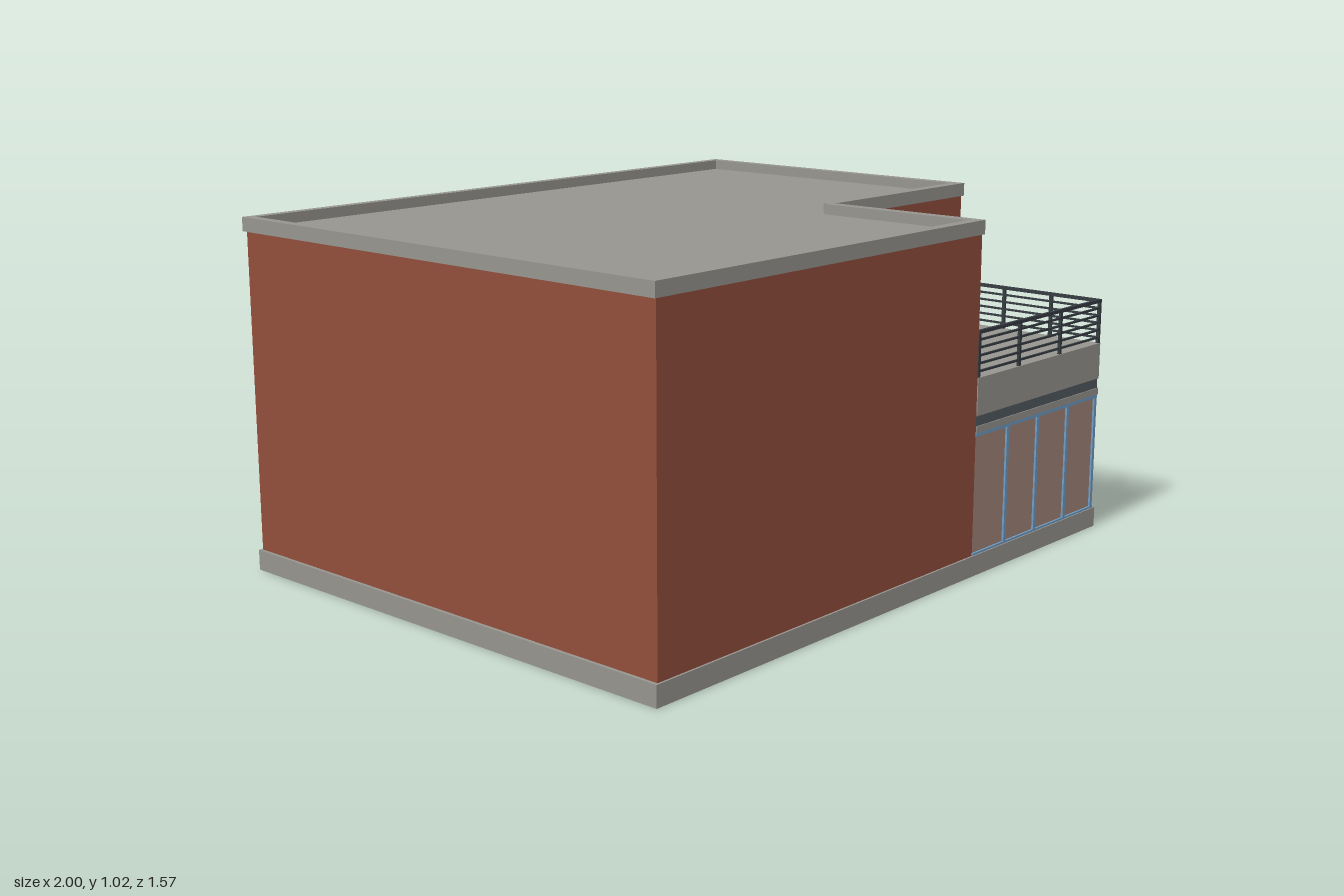
import * as THREE from 'three';

const mat = (name, color, double) => {
  const m = new THREE.MeshStandardMaterial({ color });
  m.name = name;
  if (double) m.side = THREE.DoubleSide;
  return m;
};

export function createModel() {
  const concrete = mat('concrete', 0x96948e);
  const brick = mat('red wall', 0x914e3b);
  const glass = mat('tan glass', 0xa2877a);
  const slate = mat('slate panel', 0x525a61);
  const blue = mat('blue frame', 0x6f9cc4);
  const iron = mat('dark iron', 0x363c42);
  const pale = mat('pale glass', 0xc9c9c4);

  const model = new THREE.Group();
  model.name = 'house';

  // Box given by its minimum and maximum corners
  const box = (name, m, x0, x1, y0, y1, z0, z1, parent = model) => {
    const mesh = new THREE.Mesh(new THREE.BoxGeometry(x1 - x0, y1 - y0, z1 - z0), m);
    mesh.position.set((x0 + x1) / 2, (y0 + y1) / 2, (z0 + z1) / 2);
    mesh.name = name;
    parent.add(mesh);
    return mesh;
  };
  const vec = (pts) => pts.map(([x, y]) => new THREE.Vector2(x, y));
  const rect = ([u0, u1, v0, v1]) => vec([[u0, v0], [u1, v0], [u1, v1], [u0, v1]]);
  const extrude = (outline, holes, depth) => {
    const shape = new THREE.Shape(outline);
    holes.forEach((h) => shape.holes.push(new THREE.Path(h)));
    return new THREE.ExtrudeGeometry(shape, { depth, bevelEnabled: false });
  };

  // Flat slab lying in plan (x, z), hanging down from the given top
  const slab = (name, m, outline, holes, top, depth) => {
    const mesh = new THREE.Mesh(extrude(vec(outline), holes.map(vec), depth), m);
    mesh.rotation.x = Math.PI / 2;
    mesh.position.y = top;
    mesh.name = name;
    model.add(mesh);
  };

  // Group whose local x runs along a wall and whose local z points outward
  const facing = (name, side, offset) => {
    const g = new THREE.Group();
    g.name = name;
    if (side) {
      g.rotation.y = Math.PI / 2; // local x = -z, local z = +x
      g.position.x = offset;
    } else g.position.z = offset;
    model.add(g);
    return g;
  };
  const T = 0.02;
  const wall = (name, side, offset, bounds, holes = []) => {
    const g = facing(name, side, offset);
    const mesh = new THREE.Mesh(extrude(rect(bounds), holes.map(rect), T), brick);
    mesh.position.z = -T;
    mesh.name = name + 'Panel';
    g.add(mesh);
    return g;
  };

  // Base ring, open underneath
  slab('base', concrete,
    [[-1, -0.783], [0.99, -0.783], [0.99, 0.783], [-1, 0.783]],
    [[[-0.97, -0.753], [0.96, -0.753], [0.96, 0.753], [-0.97, 0.753]]], 0.06, 0.06);

  // Red walls
  const winUp = [0.38, 0.94, 0.62, 0.875];
  const winSide = [-0.74, -0.32, 0.62, 0.875];
  const door = [0.37, 0.555, 0.06, 0.85];
  wall('frontWall', false, 0.777, [-0.99, 0.325, 0.06, 0.985]);
  wall('backWall', false, -0.757, [-0.99, 0.982, 0.06, 0.985]);
  wall('leftWall', true, -0.97, [-0.757, 0.757, 0.06, 0.985]);
  const right = wall('rightWall', true, 0.982, [-0.26, 0.757, 0.06, 0.985], [door]);
  const terraceBack = wall('terraceBackWall', false, 0.26, [0.305, 0.962, 0.44, 0.985], [winUp]);
  const terraceSide = wall('terraceSideWall', true, 0.325, [-0.757, -0.26, 0.44, 0.985], [winSide]);

  // Roof with a raised rim
  slab('roofRim', concrete,
    [[-1, -0.783], [0.99, -0.783], [0.99, 0.265], [0.33, 0.265], [0.33, 0.783], [-1, 0.783]],
    [[[-0.97, -0.755], [0.96, -0.755], [0.96, 0.23], [0.315, 0.23], [0.315, 0.25],
      [0.295, 0.25], [0.295, 0.75], [-0.97, 0.75]]], 1.025, 0.04);
  slab('roofDeck', concrete,
    [[-0.98, -0.765], [0.97, -0.765], [0.97, 0.245], [0.31, 0.245], [0.31, 0.765], [-0.98, 0.765]],
    [], 0.995, 0.015);

  // Upper windows: recessed panes, mullions and concrete reveals
  const sashWindow = (g, [u0, u1, v0, v1], edges, fills) => {
    fills.forEach((m, i) => box('pane', m, edges[i], edges[i + 1], v0, v1, -0.022, -0.016, g));
    edges.slice(1, -1).forEach((u) => box('mullion', blue, u - 0.004, u + 0.004, v0, v1, -0.016, -0.01, g));
    box('sill', concrete, u0, u1, v0, v0 + 0.004, -0.02, 0.001, g);
    box('head', blue, u0, u1, v1 - 0.004, v1, -0.02, 0.001, g);
    [[u0, u0 + 0.004], [u1 - 0.004, u1]].forEach(([a, b]) =>
      box('jamb', concrete, a, b, v0, v1, -0.02, 0.001, g));
  };
  sashWindow(terraceBack, winUp, [0.38, 0.525, 0.66, 0.8, 0.94], [glass, slate, slate, glass]);
  sashWindow(terraceSide, winSide, [-0.74, -0.6, -0.46, -0.32], [glass, glass, glass]);

  // Tall side door set in a deep niche
  const [d0, d1, b, t] = door;
  box('doorPanel', slate, d0, d1, b, t, -0.135, -0.125, right);
  box('doorReveal', concrete, d0 - 0.01, d0, b, t, -0.135, 0, right);
  box('doorReveal', concrete, d1, d1 + 0.01, b, t, -0.135, 0, right);
  box('doorRevealTop', concrete, d0 - 0.01, d1 + 0.01, t, t + 0.01, -0.135, 0, right);
  box('doorFrame', concrete, 0.35, d0, 0.055, 0.88, -0.005, 0.018, right);
  box('doorFrame', concrete, d1, 0.575, 0.055, 0.88, -0.005, 0.018, right);
  box('doorFrameTop', concrete, d0, d1, t, 0.88, -0.005, 0.018, right);

  // Low strip window
  box('stripWindowFrame', iron, -0.125, 0.29, 0.295, 0.415, -0.001, 0.008, right);
  box('stripWindowPane', pale, -0.119, 0.284, 0.301, 0.409, 0.006, 0.01, right);

  // Ground floor glazing around the corner
  const glazing = (name, side, offset, edges, fills, bars) => {
    const g = facing(name, side, offset);
    const u0 = edges[0], u1 = edges[edges.length - 1];
    fills.forEach((m, i) => box('pane', m, edges[i], edges[i + 1], 0.06, 0.42, -0.012, -0.004, g));
    bars.forEach((u) => box('mullion', blue, u - 0.006, u + 0.006, 0.06, 0.42, -0.006, 0.002, g));
    box('topRail', blue, u0, u1, 0.41, 0.422, -0.006, 0.002, g);
    box('bottomRail', blue, u0, u1, 0.058, 0.066, -0.006, 0.002, g);
  };
  glazing('frontGlazing', false, 0.777, [0.325, 0.982], [glass], [0.49, 0.65, 0.815, 0.974]);
  glazing('sideGlazing', true, 0.982, [-0.777, -0.43, -0.26], [glass, slate], [-0.769, -0.605, -0.43]);

  // Terrace slab with a dark band
  box('terraceSoffit', concrete, 0.325, 0.985, 0.42, 0.44, 0.26, 0.78);
  box('terraceBand', slate, 0.325, 0.982, 0.44, 0.47, 0.26, 0.777);
  box('terraceFloor', concrete, 0.325, 0.985, 0.47, 0.58, 0.26, 0.78);

  // Railing on the two open sides
  const railing = (name, side, offset, u0, u1, posts) => {
    const g = facing(name, side, offset);
    for (let i = 0; i < 6; i++) {
      const y = 0.597 + i * 0.0226, r = i === 5 ? 0.005 : 0.003;
      box('rail', iron, u0, u1, y - r, y + r, -r, r, g);
    }
    posts.forEach((u) => box('post', iron, u - 0.005, u + 0.005, 0.58, 0.71, -0.004, 0.004, g));
  };
  railing('frontRailing', false, 0.774, 0.326, 0.985, [0.332, 0.54, 0.76, 0.98]);
  railing('sideRailing', true, 0.98, -0.778, -0.262, [-0.774, -0.605, -0.435, -0.267]);

  return model;
}
